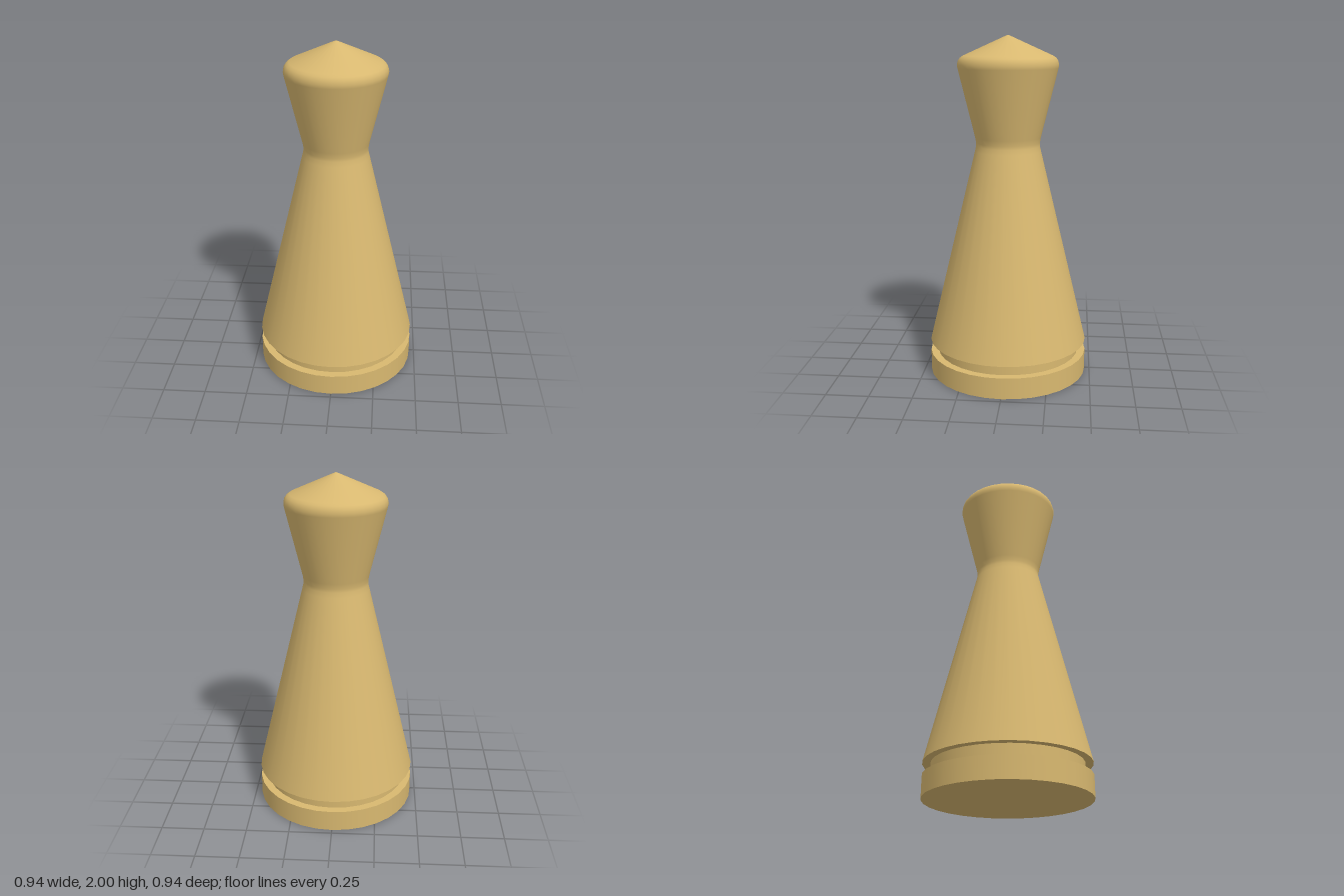
import * as THREE from 'three';

const SIDES = 32;

export function createModel() {
  const group = new THREE.Group();
  const wood = new THREE.MeshStandardMaterial({ color: 0xd8b870 });

  // Each profile is [radius, height] pairs running up the outside; separate profiles meet in sharp edges
  const turn = (name, profile) => {
    const points = profile.map(([r, y]) => new THREE.Vector2(r, y));
    const mesh = new THREE.Mesh(new THREE.LatheGeometry(points, SIDES), wood);
    mesh.name = name;
    group.add(mesh);
  };

  // Base disc
  turn('baseUnderside', [[0, 0], [0.47, 0]]);
  turn('baseRim', [[0.47, 0], [0.47, 0.125]]);
  turn('baseTop', [[0.47, 0.125], [0.425, 0.125]]);

  // Recessed groove between base and body
  turn('groove', [[0.425, 0.125], [0.425, 0.195]]);
  turn('bodyUnderside', [[0.425, 0.195], [0.47, 0.195]]);

  // Tapered body, narrow neck, flared head and shallow pointed cap
  turn('bodyAndHead', [
    [0.47, 0.195], [0.193, 1.34], [0.186, 1.37], [0.186, 1.39], [0.191, 1.42],
    [0.288, 1.815], [0.291, 1.835], [0.286, 1.857], [0.275, 1.873], [0.258, 1.885],
    [0.02, 1.992], [0, 2],
  ]);

  return group;
}
